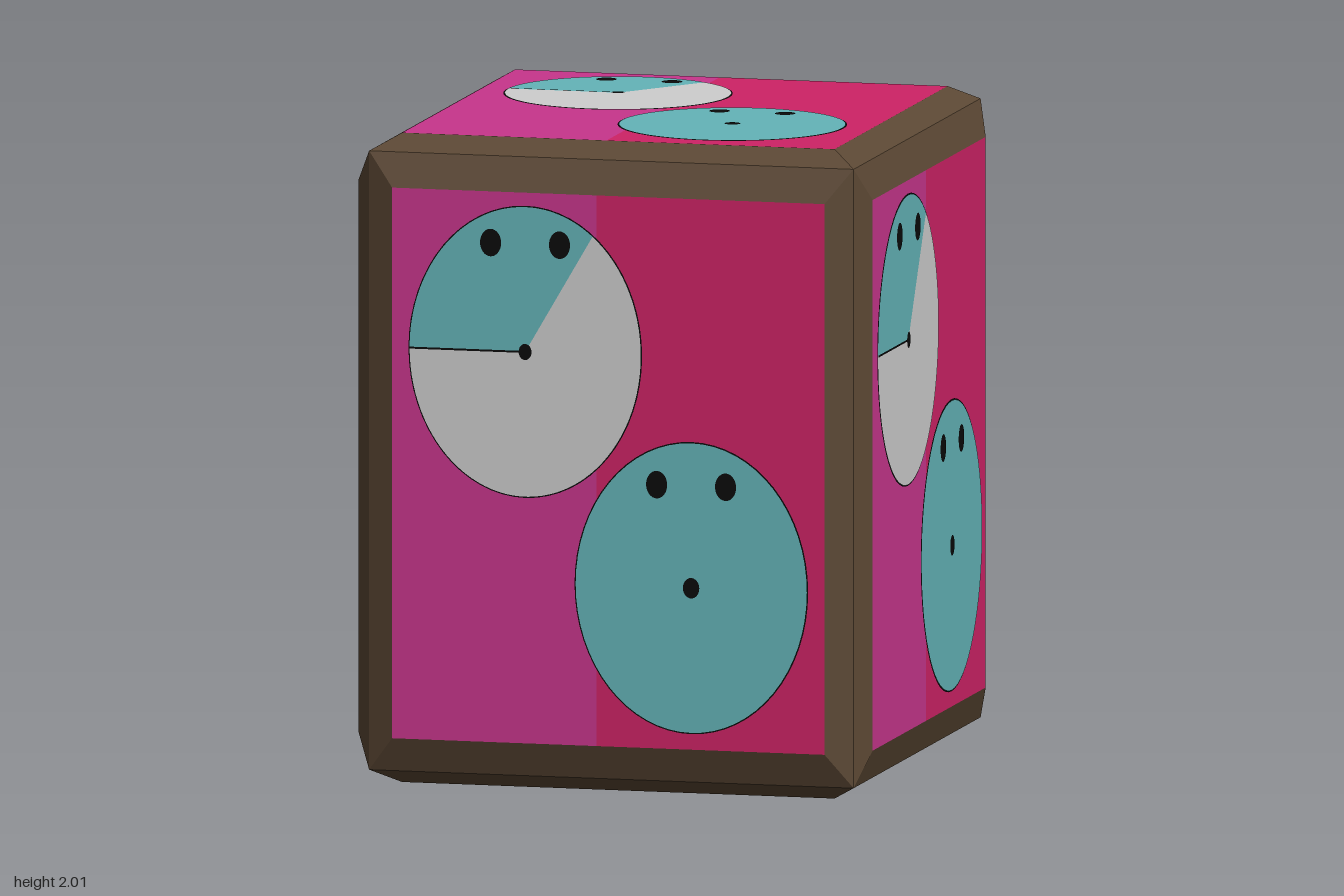
import * as THREE from 'three';

const paint = (name, color, side = THREE.DoubleSide) => {
  const m = new THREE.MeshStandardMaterial({ color, side });
  m.name = name;
  return m;
};

export function createModel() {
  const brown = paint('brown', 0x5c4834, THREE.FrontSide);
  const magenta = paint('magenta', 0xc8358c);
  const crimson = paint('crimson', 0xce2366);
  const teal = paint('teal', 0x64b4b8);
  const pale = paint('pale grey', 0xcecece);
  const black = paint('black', 0x0a0a0a);

  const model = new THREE.Group();
  model.name = 'pictureBox';

  // shapes
  const rect = (x0, y0, x1, y1) => new THREE.Shape([[x0, y0], [x1, y0], [x1, y1], [x0, y1]]
    .map(([x, y]) => new THREE.Vector2(x, y)));
  const ellipse = (x, y, rx, ry) => new THREE.Shape().absellipse(x, y, rx, ry, 0, Math.PI * 2, false);
  const sector = (x, y, rx, ry, a0, a1) => {
    const s = new THREE.Shape();
    s.moveTo(x, y);
    s.absellipse(x, y, rx, ry, a0, a1, false);
    s.lineTo(x, y);
    return s;
  };

  // bevelled border: four mitred strips from the panel edge back to the body corners
  const border = (iu, iv, mu, mv, nOut, nMid, s) => {
    const signs = [[-1, -1], [1, -1], [1, 1], [-1, 1]];
    const pos = [];
    for (let i = 0; i < 4; i++) {
      const [a, b] = signs[i], [c, d] = signs[(i + 1) % 4];
      const o0 = [a * mu, b * mv, nMid], o1 = [c * mu, d * mv, nMid];
      const i1 = [c * iu, d * iv, nOut], i0 = [a * iu, b * iv, nOut];
      const tris = s > 0 ? [o0, o1, i1, o0, i1, i0] : [o0, i1, o1, o0, i0, i1];
      pos.push(...tris.flat());
    }
    const g = new THREE.BufferGeometry();
    g.setAttribute('position', new THREE.Float32BufferAttribute(pos, 3));
    g.computeVertexNormals();
    return g;
  };

  // half sizes of the panels, and of the body at the bevel ridge
  const inner = { x: 0.681, y: 0.848, z: 0.679 };
  const ridge = { x: 0.763, y: 0.953, z: 0.763 };
  const X = new THREE.Vector3(1, 0, 0), Y = new THREE.Vector3(0, 1, 0), Z = new THREE.Vector3(0, 0, 1);
  const tall = { c1: [-0.261, 0.358], c2: [0.262, -0.35], r: [0.368, 0.45] };
  const round = { c1: [-0.25, 0.271], c2: [0.251, -0.267], r: [0.35, 0.344] };

  // opposite faces carry the same picture, mirrored through the body
  const pairs = [
    { names: ['front', 'back'], basis: [X, Y, Z], u: 'x', v: 'y', n: 'z', out: [0.8, 0.8], art: tall },
    { names: ['left', 'right'], basis: [Z.clone().negate(), Y, X], u: 'z', v: 'y', n: 'x', out: [0.801, 0.819], art: tall },
    { names: ['top', 'bottom'], basis: [X, Z.clone().negate(), Y], u: 'x', v: 'z', n: 'y', out: [1, 1], art: round },
  ];

  for (const p of pairs) {
    [1, -1].forEach((s, k) => {
      const face = new THREE.Group();
      face.name = p.names[k] + 'Face';
      face.applyMatrix4(new THREE.Matrix4().makeBasis(...p.basis));
      face.position.set(0.009, 1, 0);
      model.add(face);

      const iu = inner[p.u], iv = inner[p.v], nOut = s * p.out[k];
      const frame = new THREE.Mesh(border(iu, iv, ridge[p.u], ridge[p.v], nOut, s * ridge[p.n], s), brown);
      frame.name = 'frame';
      face.add(frame);

      // flat painted layer; the far face is turned so normals point outwards
      const add = (name, shape, mat, layer) => {
        const g = new THREE.ShapeGeometry(shape, 32);
        if (s < 0) {
          const idx = g.index.array;
          for (let i = 0; i < idx.length; i += 3) [idx[i], idx[i + 1]] = [idx[i + 1], idx[i]];
          g.computeVertexNormals();
        }
        const m = new THREE.Mesh(g, mat);
        m.name = name;
        m.position.z = nOut + s * layer * 0.0015;
        face.add(m);
      };

      // two-tone panel
      add('magentaPanel', rect(-iu, -iv, -0.037, iv), magenta, 0);
      add('crimsonPanel', rect(-0.037, -iv, iu, iv), crimson, 0);

      // discs with rim, eyes and centre dot
      const [rx, ry] = p.art.r;
      const cut = Math.PI * 0.302;
      [p.art.c1, p.art.c2].forEach(([x, y], i) => {
        add('discRim', ellipse(x, y, rx, ry), black, 1);
        const a = rx - 0.004, b = ry - 0.004;
        if (i === 0) {
          add('tealWedge', sector(x, y, a, b, cut, Math.PI), teal, 2);
          add('paleWedge', sector(x, y, a, b, Math.PI, Math.PI * 2 + cut), pale, 2);
          add('wedgeLine', rect(x - a, y - 0.003, x, y + 0.003), black, 3);
        } else {
          add('tealDisc', ellipse(x, y, a, b), teal, 2);
        }
        for (const e of [-1, 1]) {
          add('eye', ellipse(x + e * 0.295 * rx, y + (i ? 0.7 : 0.74) * ry, 0.09 * rx, 0.094 * ry), black, 3);
        }
        const d = i ? 0.07 : 0.055;
        add('centreDot', ellipse(x, y, d * rx, d * ry), black, 3);
      });
    });
  }
  return model;
}
